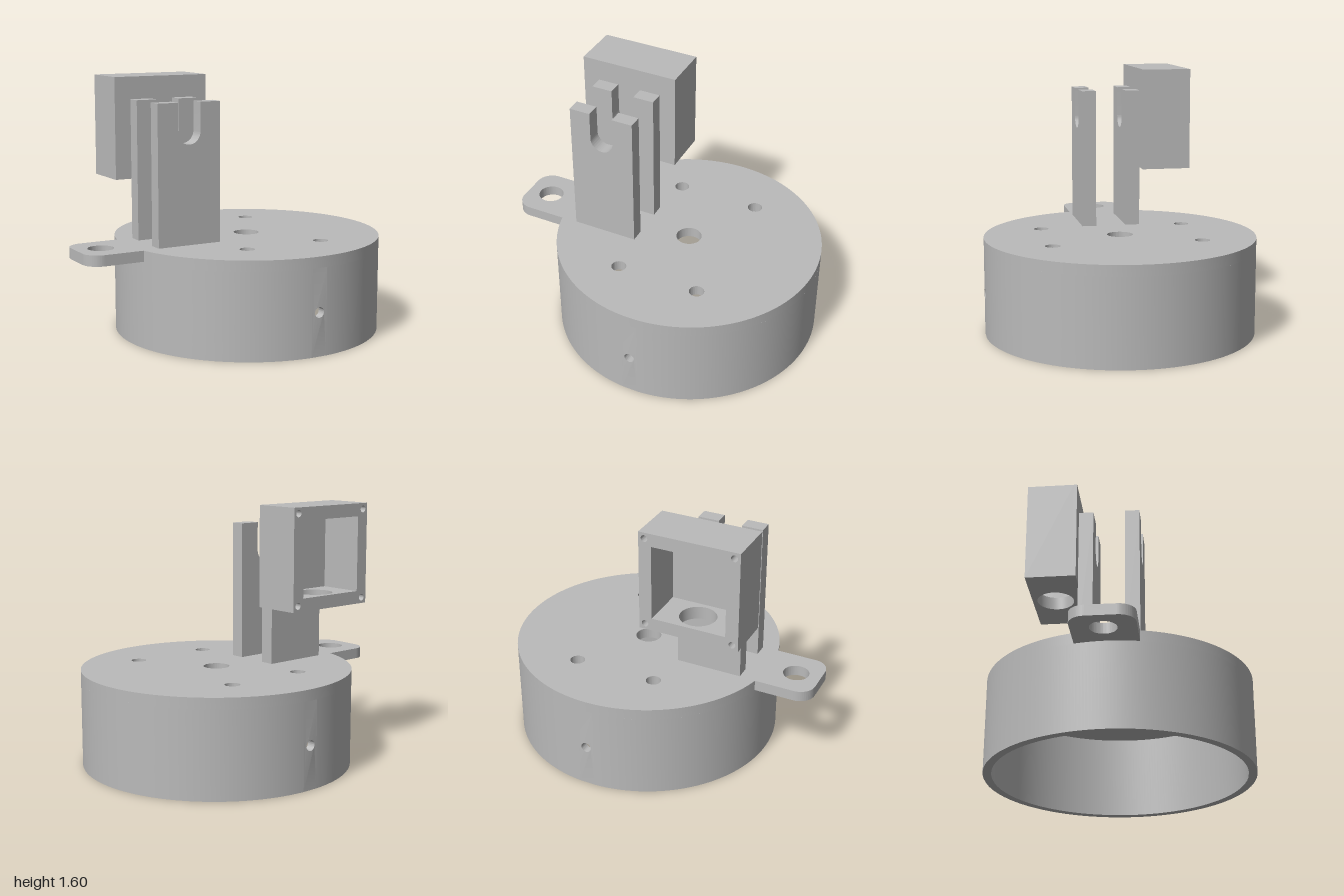
import * as THREE from 'three';
import { toCreasedNormals } from 'three/addons/utils/BufferGeometryUtils.js';

const R = 0.837, RI = 0.785;      // base outer and inner radius
const CX = 0.163;                 // base centre in x
const TOP = 0.6, PLATE = 0.067;   // base height and plate thickness
const UX = -0.342;                // centre of the uprights and housing in x

export function createModel() {
  const model = new THREE.Group();
  const grey = new THREE.MeshStandardMaterial({ color: 0xbababa });
  grey.name = 'grey';

  function add(name, geometry, x = 0, y = 0, z = 0) {
    const mesh = new THREE.Mesh(toCreasedNormals(geometry, 0.5), grey);
    mesh.name = name;
    mesh.position.set(x, y, z);
    model.add(mesh);
  }
  const extrude = (shape, depth, curveSegments = 32) =>
    new THREE.ExtrudeGeometry(shape, { depth, bevelEnabled: false, curveSegments });
  const punch = (shape, x, y, r) =>
    shape.holes.push(new THREE.Path().absarc(x, y, r, 0, Math.PI * 2, true));
  function rectangle(x0, y0, x1, y1) {
    return new THREE.Shape([
      new THREE.Vector2(x0, y0), new THREE.Vector2(x1, y0),
      new THREE.Vector2(x1, y1), new THREE.Vector2(x0, y1),
    ]);
  }

  // Top plate with its rounded mounting tab
  const tabW = 0.19, tabR = 0.1;
  const join = Math.PI - Math.asin(tabW / R);
  const plate = new THREE.Shape();
  plate.absarc(CX, 0, R, -join, join, false);
  plate.lineTo(-1 + tabR, tabW);
  plate.absarc(-1 + tabR, tabW - tabR, tabR, Math.PI / 2, Math.PI, false);
  plate.lineTo(-1, -tabW + tabR);
  plate.absarc(-1 + tabR, -tabW + tabR, tabR, Math.PI, Math.PI * 1.5, false);
  plate.closePath();
  punch(plate, CX, 0, 0.08);
  punch(plate, -0.845, 0, 0.08);
  for (const sx of [-1, 1]) for (const sy of [-1, 1]) punch(plate, CX + sx * 0.263, sy * 0.455, 0.046);
  add('topPlate', extrude(plate, PLATE, 96).rotateX(-Math.PI / 2), 0, TOP - PLATE, 0);

  // Cylindrical wall: two long arcs joined by narrow drilled panels, front and back
  const wallH = TOP - PLATE, half = 0.06;
  for (const side of [0, Math.PI]) {
    const a0 = side - Math.PI / 2 + half, a1 = side + Math.PI / 2 - half;
    const arc = new THREE.Shape();
    arc.absarc(0, 0, R, a0, a1, false);
    arc.absarc(0, 0, RI, a1, a0, true);
    arc.closePath();
    add(side ? 'rightWall' : 'leftWall', extrude(arc, wallH, 64).rotateX(-Math.PI / 2), CX, 0, 0);

    const panel = rectangle(-half * R, 0, half * R, wallH);
    punch(panel, 0, 0.267, 0.032);
    const bent = extrude(panel, R - RI);
    const p = bent.attributes.position;
    for (let i = 0; i < p.count; i++) {
      const a = p.getX(i) / R, r = RI + p.getZ(i);
      p.setXYZ(i, Math.sin(a) * r, p.getY(i), Math.cos(a) * r);
    }
    add(side ? 'backDrilledWall' : 'frontDrilledWall', bent.rotateY(side), CX, 0, 0);
  }

  // Pair of slotted uprights
  const w = 0.209, slot = 0.075, h = 0.862, slotY = 0.685;
  const upright = new THREE.Shape();
  upright.moveTo(-w, 0);
  upright.lineTo(w, 0);
  upright.lineTo(w, h);
  upright.lineTo(slot, h);
  upright.lineTo(slot, slotY);
  upright.absarc(0, slotY, slot, 0, Math.PI, true);
  upright.lineTo(-slot, h);
  upright.lineTo(-w, h);
  upright.closePath();
  add('frontUpright', extrude(upright, 0.089), UX, TOP, 0.096);
  add('backUpright', extrude(upright, 0.089), UX, TOP, -0.185);

  // Housing, open at the back: top and sides, with corner screw holes
  const b = 0.3135, t = 0.08, hy = 1.286, zBack = -0.487, zFront = -0.185, skin = 0.02;
  const depth = zFront - skin - zBack;
  const frame = new THREE.Shape([
    [-b, -b], [-b + t, -b], [-b + t, b - t], [b - t, b - t],
    [b - t, -b], [b, -b], [b, b], [-b, b],
  ].map(([x, y]) => new THREE.Vector2(x, y)));
  const screw = b - 0.037;
  for (const sx of [-1, 1]) for (const sy of [-1, 1]) punch(frame, sx * screw, sy * screw, 0.021);
  add('housingFrame', extrude(frame, depth, 12), UX, hy, zBack);

  // Housing floor with its round opening
  const floor = rectangle(-b + t, -depth / 2, b - t, depth / 2);
  punch(floor, 0, 0, 0.112);
  add('housingFloor', extrude(floor, t).rotateX(-Math.PI / 2), UX, hy - b, zBack + depth / 2);

  // Thin closed face of the housing
  add('housingFace', new THREE.BoxGeometry(b * 2, b * 2, skin), UX, hy, zFront - skin / 2);

  return model;
}
